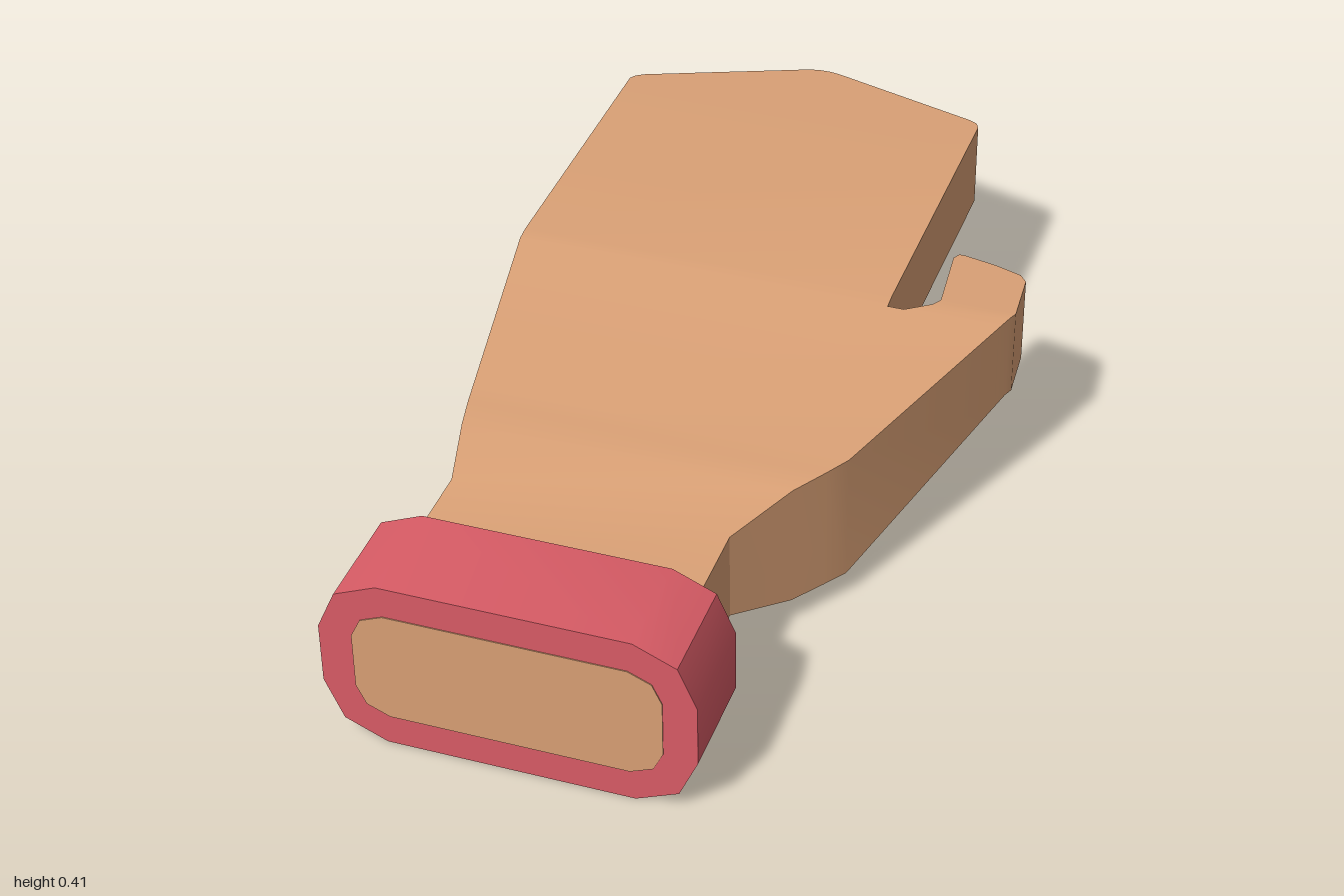
import * as THREE from 'three';
import { toCreasedNormals } from 'three/addons/utils/BufferGeometryUtils.js';

const skin = new THREE.MeshStandardMaterial({ color: 0xd9a075 });
const red = new THREE.MeshStandardMaterial({ color: 0xd95c66 });

// Side profile of the hand: [z, bottom, top]
const profile = [
  [0.8, 0.1, 0.298], [0.55, 0.1, 0.298], [0.42, 0.058, 0.336],
  [0.3, 0.055, 0.343], [-0.17, 0.22, 0.415], [-1, 0.22, 0.415],
];

function heights(z) {
  const i = Math.max(1, profile.findIndex((p) => p[0] <= z));
  const [a, b] = [profile[i - 1], profile[i]];
  const t = (a[0] - z) / (a[0] - b[0]);
  return [1, 2].map((k) => THREE.MathUtils.lerp(a[k], b[k], t));
}

// Corners of the cross-section at z between two x positions
function section([z, left, right]) {
  const [bottom, top] = heights(z);
  return [[left, top, z], [right, top, z], [right, bottom, z], [left, bottom, z]];
}

// Skin rows [z, xMin, xMax] running towards -z, closed by an end wall
function loft(name, rows, endRow) {
  const positions = [];
  const quad = (a, b, c, d) => positions.push(...a, ...b, ...c, ...a, ...c, ...d);
  const sections = rows.map(section);
  for (let r = 0; r < sections.length - 1; r++) {
    const [a, b] = [sections[r], sections[r + 1]];
    for (let i = 0; i < 4; i++) {
      const j = (i + 1) % 4;
      quad(a[i], a[j], b[j], b[i]);
    }
  }
  quad(...section(endRow));
  const geometry = new THREE.BufferGeometry();
  geometry.setAttribute('position', new THREE.Float32BufferAttribute(positions, 3));
  const mesh = new THREE.Mesh(toCreasedNormals(geometry, Math.PI / 6), skin);
  mesh.name = name;
  return mesh;
}

// Rectangle with bevelled corners, extruded along z; quarter holds its +x +y points
function bevelledBlock(name, quarter, z0, z1, material) {
  const back = [...quarter].reverse();
  const points = [
    ...quarter,
    ...back.map(([x, y]) => [-x, y]),
    ...quarter.map(([x, y]) => [-x, -y]),
    ...back.map(([x, y]) => [x, -y]),
  ].map(([x, y]) => new THREE.Vector2(x, y));
  const geometry = new THREE.ExtrudeGeometry(new THREE.Shape(points), { depth: z1 - z0, bevelEnabled: false });
  const mesh = new THREE.Mesh(toCreasedNormals(geometry, Math.PI / 6), material);
  mesh.position.set(-0.131, 0.192, z0);
  mesh.name = name;
  return mesh;
}

export function createModel() {
  const group = new THREE.Group();
  group.name = 'hand';

  // Wrist and palm; the end wall is the bottom of the thumb notch
  group.add(loft('palm', [
    [0.8, -0.42, 0.16], [0.55, -0.42, 0.16], [0.42, -0.449, 0.246],
    [0.35, -0.464, 0.293], [0.3, -0.473, 0.325], [-0.14, -0.54, 0.514],
  ], [-0.14, 0.275, 0.31]));

  // Joined fingers with a blunt pointed tip
  group.add(loft('fingers', [
    [-0.14, -0.54, 0.275], [-0.17, -0.54, 0.275], [-0.83, -0.54, 0.275],
    [-0.843, -0.532, 0.275], [-0.855, -0.515, 0.275], [-0.87, -0.477, 0.275],
    [-0.885, -0.439, 0.268], [-0.895, -0.414, 0.25], [-0.995, -0.16, -0.085],
    [-1, -0.135, -0.11],
  ], [-1, -0.135, -0.11]));

  // Thumb
  group.add(loft('thumb', [
    [-0.14, 0.31, 0.514], [-0.17, 0.363, 0.527], [-0.19, 0.375, 0.535],
    [-0.31, 0.363, 0.526], [-0.33, 0.361, 0.51], [-0.35, 0.359, 0.45],
    [-0.365, 0.368, 0.38],
  ], [-0.365, 0.368, 0.38]));

  // Cuff with a skin-coloured end face
  group.add(bevelledBlock('cuff', [[0.378, 0.067], [0.34, 0.154], [0.253, 0.192]], 0.773, 0.998, red));
  group.add(bevelledBlock('wristEnd', [[0.31, 0.062], [0.29, 0.104], [0.243, 0.124]], 0.98, 1, skin));

  return group;
}
